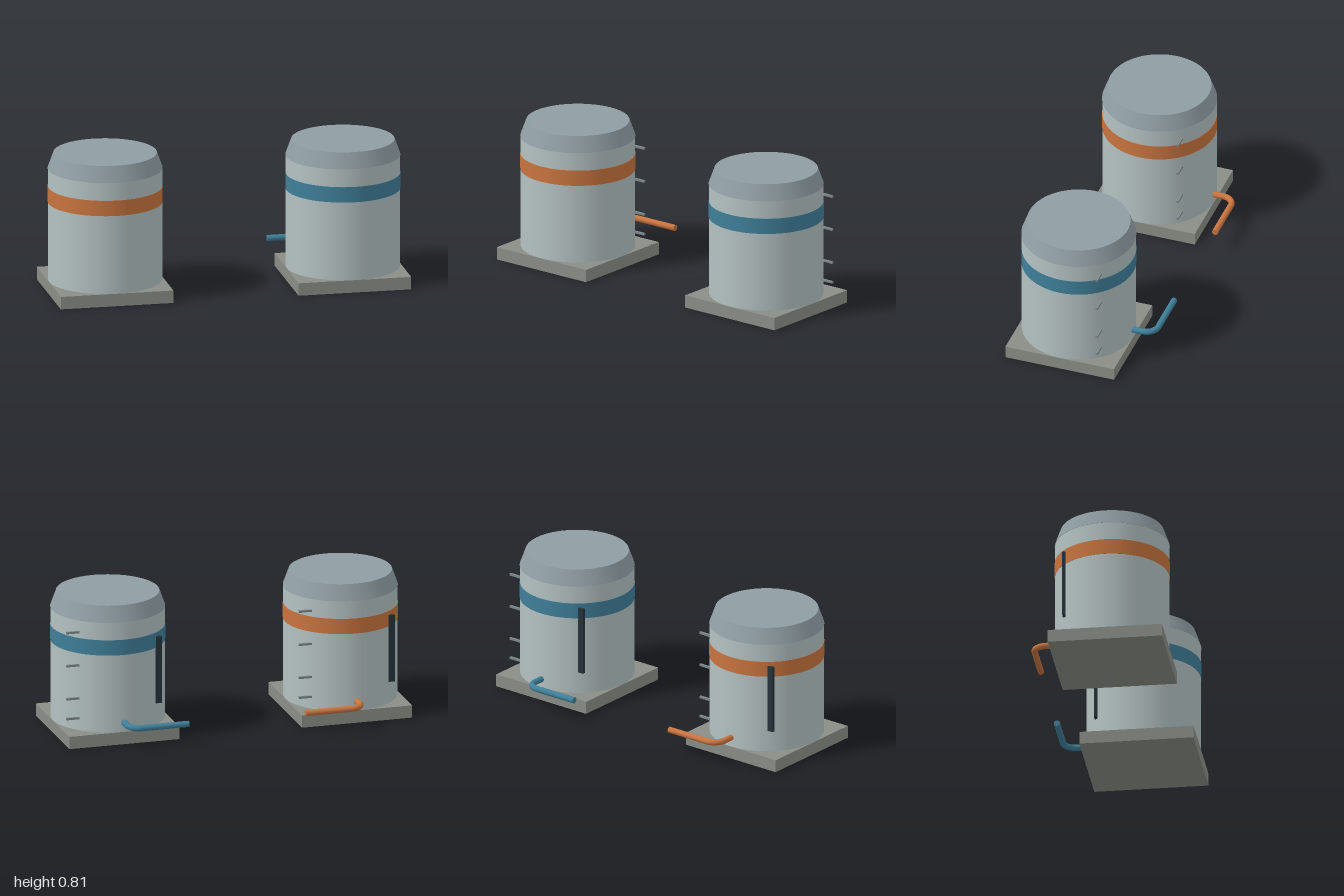
import * as THREE from 'three';

const BODY = 0xb4c1c1, ROOF = 0x8f9da2, PLINTH = 0x8a8d86, STEEL = 0x7d888b, DARK = 0x263238;

function part(name, geometry, color, x = 0, y = 0, z = 0) {
  const mesh = new THREE.Mesh(geometry, new THREE.MeshStandardMaterial({ color }));
  mesh.name = name;
  mesh.position.set(x, y, z);
  return mesh;
}

// vertical cylinder or cone between two heights
function drum(name, rTop, rBottom, y0, y1, color) {
  return part(name, new THREE.CylinderGeometry(rTop, rBottom, y1 - y0, 64), color, 0, (y0 + y1) / 2, 0);
}

// outlet pipe: straight out of the back, rounded elbow, then sideways (dir = +1 or -1)
function outletPipe(dir, color) {
  const y = 0.126, r = 0.0175, zRun = -0.446, bend = 0.07, end = 0.338;
  const path = new THREE.CurvePath();
  const v = (x, z) => new THREE.Vector3(x * dir, y, z);
  const k = bend * 0.45;
  path.add(new THREE.LineCurve3(v(0, -0.29), v(0, zRun + bend)));
  path.add(new THREE.CubicBezierCurve3(v(0, zRun + bend), v(0, zRun + k), v(k, zRun), v(bend, zRun)));
  path.add(new THREE.LineCurve3(v(bend, zRun), v(end, zRun)));
  const pipe = new THREE.Group();
  pipe.name = 'outletPipe';
  pipe.add(part('pipeRun', new THREE.TubeGeometry(path, 60, r, 16), color));
  const cap = part('pipeEnd', new THREE.CircleGeometry(r, 16), color, end * dir, y, zRun);
  cap.rotation.y = dir * Math.PI / 2;
  pipe.add(cap);
  return pipe;
}

function tank(name, x, pipeDir, color) {
  const g = new THREE.Group();
  g.name = name;
  g.position.set(x, 0, 0.0705);

  // square plinth, shell, tapered roof and coloured band
  g.add(part('plinth', new THREE.BoxGeometry(0.643, 0.072, 0.643), PLINTH, 0, 0.036, 0));
  g.add(drum('shell', 0.3195, 0.3195, 0.07, 0.716, BODY));
  g.add(drum('roof', 0.289, 0.3215, 0.715, 0.805, ROOF));
  g.add(drum('band', 0.3215, 0.3215, 0.523, 0.612, color));

  // rungs on the left side
  for (const y of [0.142, 0.258, 0.452, 0.646]) {
    g.add(part('rung', new THREE.BoxGeometry(0.1, 0.012, 0.013), STEEL, 0.257, y, -0.213));
  }

  // level gauge at the back right
  g.add(part('levelGauge', new THREE.BoxGeometry(0.035, 0.39, 0.017), DARK, -0.224, 0.393, -0.242));

  g.add(outletPipe(pipeDir, color));
  return g;
}

export function createModel() {
  const model = new THREE.Group();
  model.name = 'tankPair';
  model.add(tank('rightTank', -0.6785, 1, 0xc8743f));
  model.add(tank('leftTank', 0.6785, -1, 0x3f7f99));
  return model;
}
